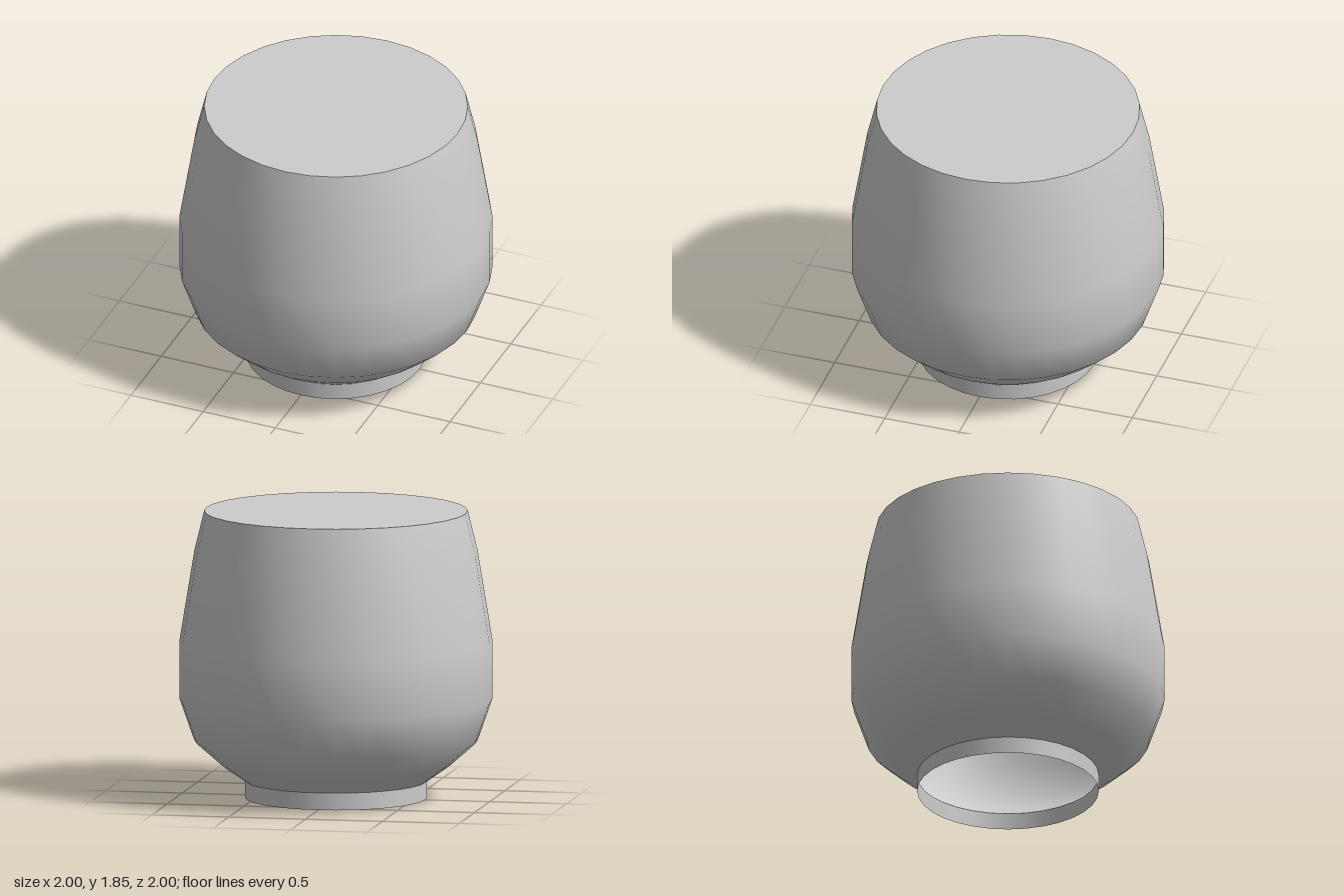
import * as THREE from 'three';

const SEGMENTS = 32;

function lathe(name, profile, material) {
  const points = profile.map(([r, y]) => new THREE.Vector2(r, y));
  const mesh = new THREE.Mesh(new THREE.LatheGeometry(points, SEGMENTS), material);
  mesh.name = name;
  return mesh;
}

export function createModel() {
  const group = new THREE.Group();
  group.name = 'roundedCup';

  const grey = new THREE.MeshStandardMaterial({ color: 0xcccccc, side: THREE.DoubleSide });
  grey.name = 'light grey';

  // Rounded hollow body, open underneath
  group.add(lathe('body', [
    [0.58, 0.11], [0.735, 0.22], [0.905, 0.37], [1, 0.64],
    [1, 1.01], [0.905, 1.59], [0.842, 1.85],
  ], grey));

  // Thin foot ring, open underneath
  group.add(lathe('footRing', [[0.58, 0], [0.58, 0.11]], grey));

  // Flat disc closing the top
  const lid = new THREE.Mesh(new THREE.CircleGeometry(0.842, SEGMENTS), grey);
  lid.name = 'topSurface';
  lid.rotation.x = -Math.PI / 2;
  lid.position.y = 1.85;
  group.add(lid);

  return group;
}
